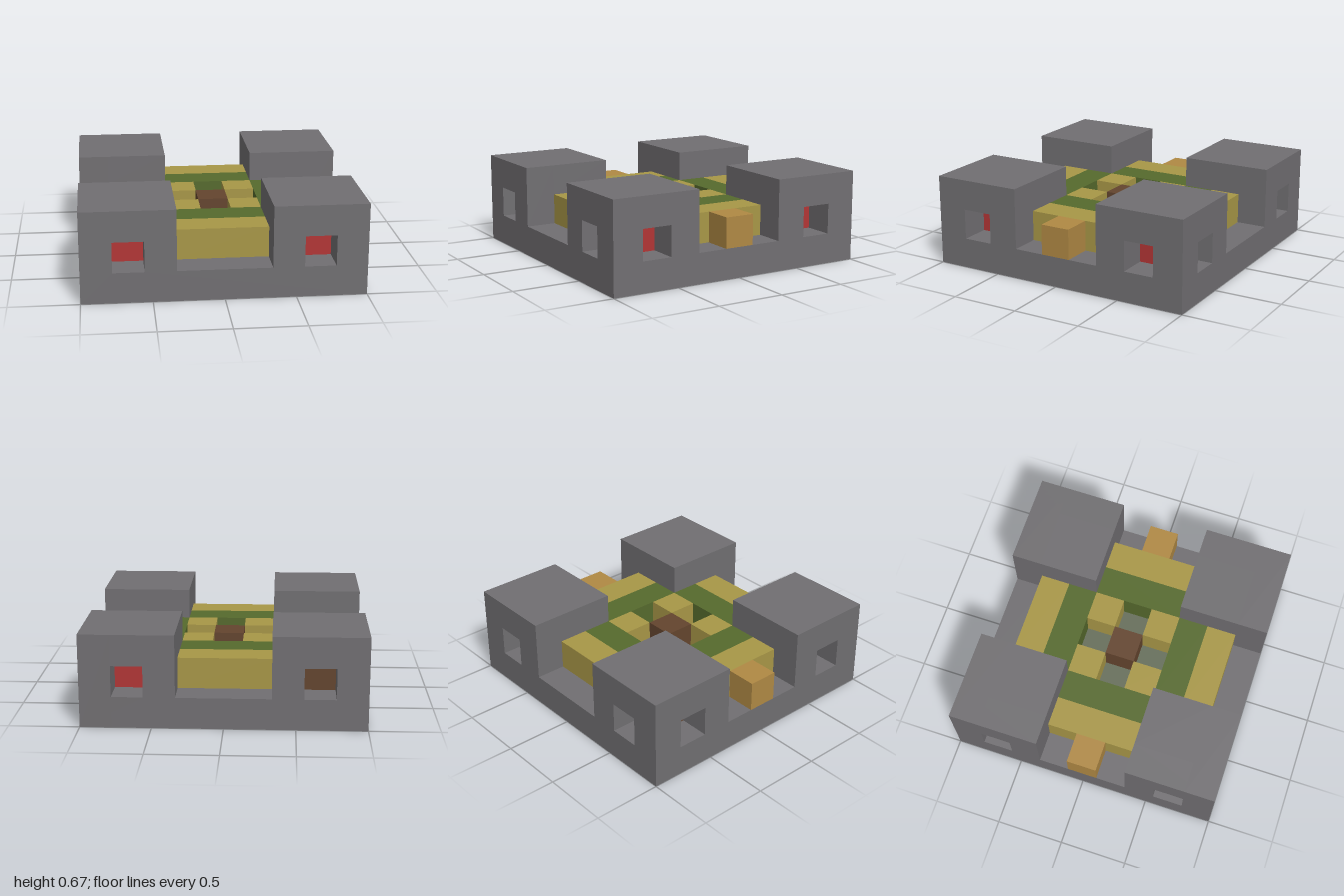
import * as THREE from 'three';

const U = 2 / 9; // one block

const paint = (name, color) => {
  const m = new THREE.MeshStandardMaterial({ color });
  m.name = name;
  return m;
};

export function createModel() {
  const stone = paint('stone grey', 0x716f72);
  const straw = paint('straw yellow', 0xa89747);
  const leaf = paint('leaf green', 0x566a2d);
  const wood = paint('light wood', 0xb08944);
  const red = paint('red', 0xb23535);
  const earth = paint('earth brown', 0x64452e);
  const moss = paint('mossy stone', 0x666e5a);

  // Everything is laid out in block units and scaled at the end.
  const model = new THREE.Group();
  model.name = 'courtyardFort';
  model.scale.setScalar(U);

  const add = (parent, name, geometry, material) => {
    const mesh = new THREE.Mesh(geometry, material);
    mesh.name = name;
    parent.add(mesh);
    return mesh;
  };
  // Box given by its minimum and maximum corners
  const box = (parent, name, material, [x0, y0, z0], [x1, y1, z1]) => {
    const g = new THREE.BoxGeometry(x1 - x0, y1 - y0, z1 - z0);
    g.translate((x0 + x1) / 2, (y0 + y1) / 2, (z0 + z1) / 2);
    return add(parent, name, g, material);
  };
  const outline = (pts) => pts.map(([x, y]) => new THREE.Vector2(x, y));
  const rect = (x0, y0, x1, y1) => outline([[x0, y0], [x1, y0], [x1, y1], [x0, y1]]);
  const extrude = (pts, holes = []) => {
    const s = new THREE.Shape(pts);
    s.holes = holes.map((h) => new THREE.Path(h));
    return new THREE.ExtrudeGeometry(s, { depth: 1, bevelEnabled: false });
  };
  // One-block-high slab from a plan in x and z, resting on height y
  const slab = (y, pts, holes) => extrude(pts, holes).rotateX(Math.PI / 2).translate(0, y + 1, 0);

  // Floor: earth around a mossy cross with a stone centre
  const cross = outline([
    [-0.5, -1.5], [0.5, -1.5], [0.5, -0.5], [1.5, -0.5], [1.5, 0.5], [0.5, 0.5],
    [0.5, 1.5], [-0.5, 1.5], [-0.5, 0.5], [-1.5, 0.5], [-1.5, -0.5], [-0.5, -0.5],
  ]);
  add(model, 'earthFloor', slab(0, rect(-3.5, -3.5, 3.5, 3.5), [cross]), earth);
  add(model, 'mossyCross', slab(0, cross, [rect(-0.5, -0.5, 0.5, 0.5)]), moss);
  box(model, 'centreFoundation', stone, [-0.5, 0, -0.5], [0.5, 1, 0.5]);
  box(model, 'centreBlock', earth, [-0.5, 1, -0.5], [0.5, 2, 0.5]);

  // Outer wall profile: low in the middle, high at the ends, one window per end
  const wallProfile = outline([
    [-4.5, 0], [4.5, 0], [4.5, 3], [1.5, 3], [1.5, 1], [-1.5, 1], [-1.5, 3], [-4.5, 3],
  ]);
  const windows = [rect(-3.5, 1, -2.5, 2), rect(2.5, 1, 3.5, 2)];
  // Inner tower walls wrap around the block behind the windows
  const innerWalls = outline([[1.5, 1.5], [3.5, 1.5], [3.5, 2.5], [2.5, 2.5], [2.5, 3.5], [1.5, 3.5]]);

  for (let k = 0; k < 4; k++) {
    const side = new THREE.Group();
    side.name = 'quarter' + (k + 1);
    side.rotation.y = (k * Math.PI) / 2;
    model.add(side);

    add(side, 'outerWall', extrude(wallProfile, windows).translate(0, 0, 3.5), stone);

    // Corner tower
    add(side, 'towerInnerWalls', slab(1, innerWalls), stone);
    box(side, 'towerRoof', stone, [1.5, 2, 1.5], [3.5, 3, 3.5]);
    box(side, 'towerCoreBlock', k === 2 ? earth : red, [2.5, 1, 2.5], [3.5, 2, 3.5]);

    // Planted rows and the bale beside the centre
    box(side, 'hedge', leaf, [1.5, 1, -1.5], [2.5, 2, 1.5]);
    box(side, 'strawRow', straw, [2.5, 1, -1.5], [3.5, 2, 1.5]);
    box(side, 'strawBale', straw, [0.5, 1, 0.5], [1.5, 2, 1.5]);

    // Wooden block on the two side walls
    if (k % 2 === 0) box(side, 'woodBlock', wood, [3.5, 1, -0.5], [4.5, 2, 0.5]);
  }
  return model;
}
